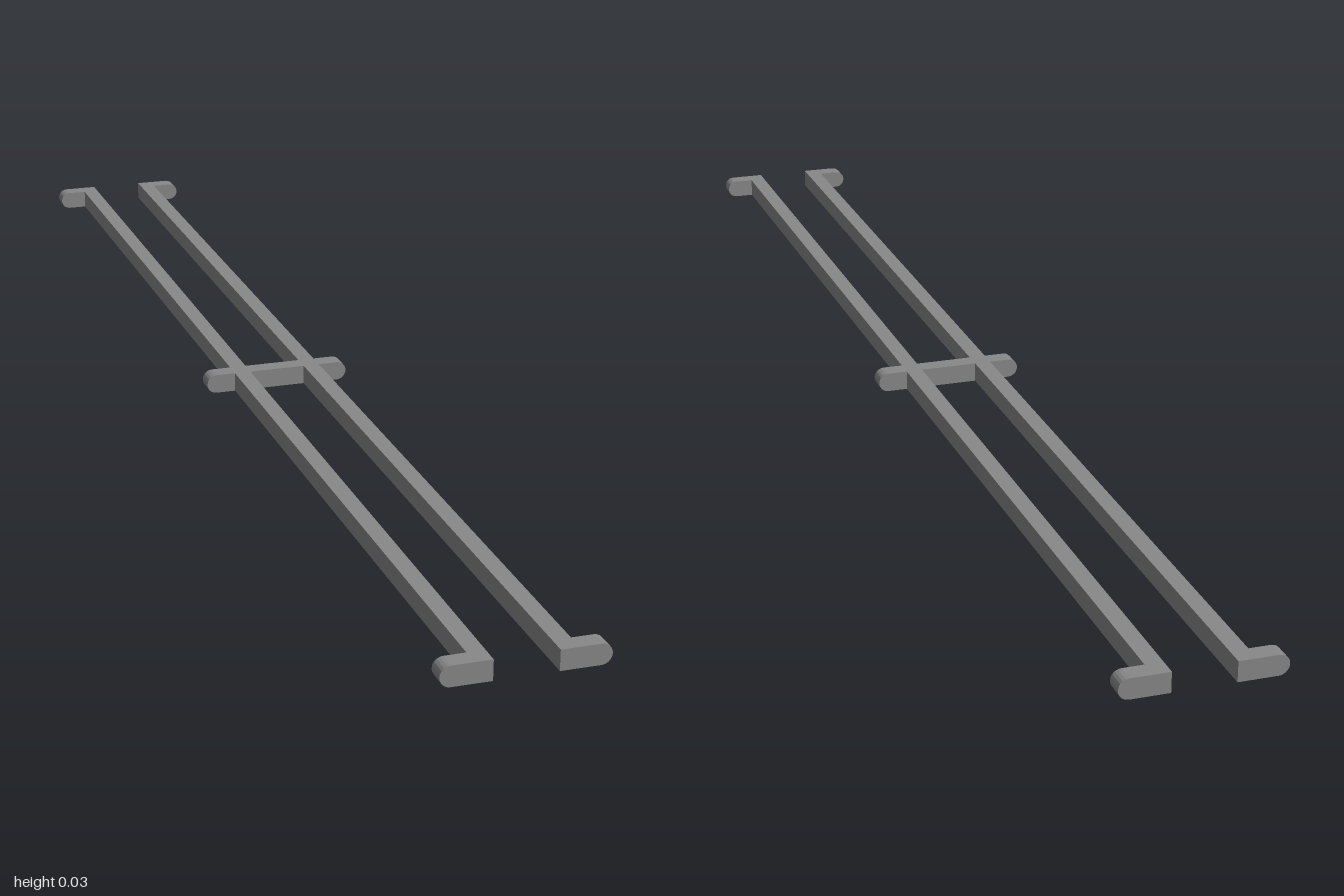
import * as THREE from 'three';

const HEIGHT = 0.028;
const RAIL_IN = 0.042, RAIL_OUT = 0.066;
const TAB_END = 0.109, TAB_DEPTH = 0.026;

// Tab seen from the front: square at the rail, rounded at the outer end
function tabGeometry() {
  const r = HEIGHT / 2;
  const shape = new THREE.Shape();
  shape.moveTo(RAIL_OUT, 0);
  shape.lineTo(TAB_END - r, 0);
  shape.absarc(TAB_END - r, r, r, -Math.PI / 2, Math.PI / 2, false);
  shape.lineTo(RAIL_OUT, HEIGHT);
  const geo = new THREE.ExtrudeGeometry(shape, { depth: TAB_DEPTH, bevelEnabled: false, curveSegments: 5 });
  return geo.translate(0, 0, -TAB_DEPTH / 2);
}

export function createModel() {
  const group = new THREE.Group();
  const grey = new THREE.MeshStandardMaterial({ color: 0x888888 });
  grey.name = 'grey';

  const add = (geo, name, x, y, z) => {
    const mesh = new THREE.Mesh(geo, grey);
    mesh.name = name;
    mesh.position.set(x, y, z);
    group.add(mesh);
    return mesh;
  };

  const rail = new THREE.BoxGeometry(RAIL_OUT - RAIL_IN, HEIGHT, 2);
  const tab = tabGeometry();
  const endZ = 1 - TAB_DEPTH / 2;

  // Two long rails, each with three outward tabs
  for (const [side, label] of [[1, 'left'], [-1, 'right']]) {
    add(rail, label + 'Rail', side * (RAIL_IN + RAIL_OUT) / 2, HEIGHT / 2, 0);
    for (const [z, place] of [[endZ, 'Front'], [0, 'Middle'], [-endZ, 'Back']]) {
      const mesh = add(tab, label + place + 'Tab', 0, 0, z);
      if (side < 0) mesh.rotation.y = Math.PI;
    }
  }

  // Bridge joining the rails at the middle
  add(new THREE.BoxGeometry(RAIL_IN * 2, HEIGHT, TAB_DEPTH), 'crossBar', 0, HEIGHT / 2, 0);

  return group;
}
